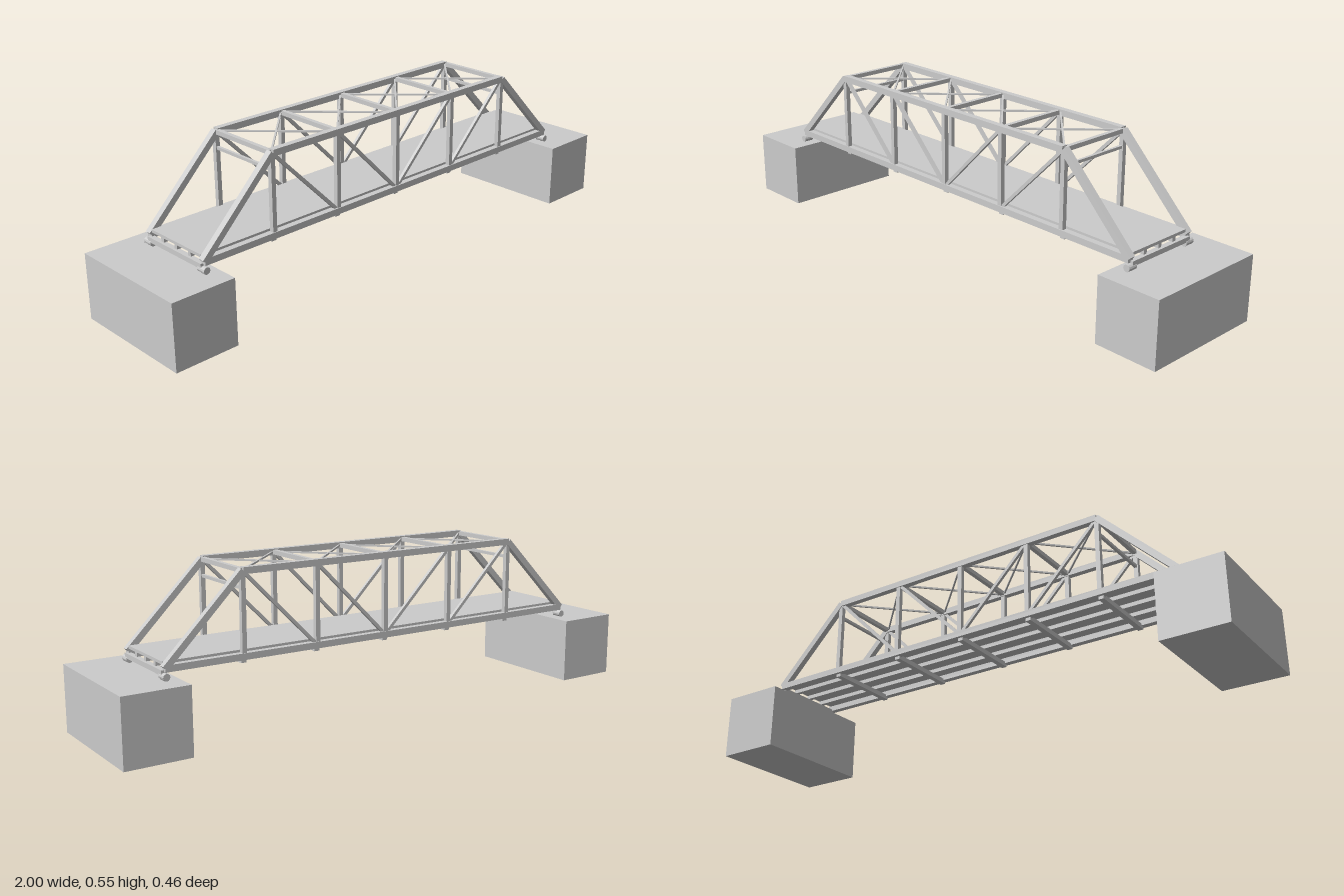
import * as THREE from 'three';

const BAY = 0.273;          // panel length
const LOW = 0.265;          // bottom chord centre height
const HIGH = 0.538;         // top chord centre height
const SIDE = 0.137;         // truss plane offset
const END = BAY * 3;
const SHOULDER = BAY * 2;

const material = new THREE.MeshStandardMaterial({ color: 0xcccccc, flatShading: true });

function add(parent, name, geometry, x, y, z) {
  const mesh = new THREE.Mesh(geometry, material);
  mesh.name = name;
  mesh.position.set(x, y, z);
  parent.add(mesh);
  return mesh;
}

function box(parent, name, w, h, d, x, y, z) {
  return add(parent, name, new THREE.BoxGeometry(w, h, d), x, y, z);
}

// Straight square bar between two points, its section kept upright
function bar(parent, name, a, b, height, width = height) {
  const from = new THREE.Vector3(...a), to = new THREE.Vector3(...b);
  const mid = from.clone().add(to).multiplyScalar(0.5);
  const mesh = box(parent, name, width, height, from.distanceTo(to), mid.x, mid.y, mid.z);
  mesh.lookAt(to);
  return mesh;
}

function makeTruss(z) {
  const truss = new THREE.Group();
  truss.name = z > 0 ? 'frontTruss' : 'backTruss';
  bar(truss, 'bottomChord', [-END, LOW, z], [END, LOW, z], 0.022);
  bar(truss, 'topChord', [-SHOULDER, HIGH, z], [SHOULDER, HIGH, z], 0.022);
  for (let i = -2; i <= 2; i++) {
    box(truss, 'verticalPost', 0.016, HIGH - LOW, 0.016, i * BAY, (HIGH + LOW) / 2, z);
  }
  for (const s of [-1, 1]) {
    bar(truss, 'endPost', [s * END, LOW, z], [s * SHOULDER, HIGH, z], 0.022);
    // Diagonals fall towards midspan
    for (let i = 1; i <= 2; i++) {
      bar(truss, 'diagonal', [s * i * BAY, HIGH, z], [s * (i - 1) * BAY, LOW, z], 0.011);
    }
  }
  return truss;
}

function makeFloor() {
  const floor = new THREE.Group();
  floor.name = 'floor';
  box(floor, 'deck', 1.638, 0.01, 0.252, 0, 0.279, 0);
  for (const z of [-0.069, 0, 0.069]) {
    box(floor, 'stringer', END * 2, 0.014, 0.014, 0, 0.267, z);
  }
  for (let i = -3; i <= 3; i++) {
    box(floor, 'floorBeam', 0.019, 0.017, SIDE * 2, i * BAY, 0.2515, 0);
  }
  return floor;
}

function makeTopBracing() {
  const bracing = new THREE.Group();
  bracing.name = 'topBracing';
  for (let i = -2; i <= 2; i++) {
    box(bracing, 'topStrut', 0.015, 0.015, SIDE * 2, i * BAY, HIGH, 0);
  }
  // Crossed laterals in each bay
  for (let i = -2; i < 2; i++) {
    for (const s of [-1, 1]) {
      bar(bracing, 'lateralBrace', [i * BAY, HIGH, -s * SIDE], [(i + 1) * BAY, HIGH, s * SIDE], 0.006);
    }
  }
  for (const s of [-1, 1]) {
    box(bracing, 'portalStrut', 0.01, 0.01, SIDE * 2, s * SHOULDER, 0.483, 0);
  }
  return bracing;
}

function makeSupport(s) {
  const support = new THREE.Group();
  support.name = s > 0 ? 'leftSupport' : 'rightSupport';
  box(support, 'abutment', 0.227, 0.228, 0.456, s * 0.8865, 0.114, 0);
  for (const z of [-SIDE, SIDE]) {
    const roller = new THREE.CylinderGeometry(0.012, 0.012, 0.035, 12).rotateX(Math.PI / 2);
    add(support, 'bearingRoller', roller, s * END, 0.24, z);
  }
  return support;
}

export function createModel() {
  const bridge = new THREE.Group();
  bridge.name = 'trussBridge';
  bridge.add(makeTruss(SIDE), makeTruss(-SIDE), makeFloor(), makeTopBracing(), makeSupport(-1), makeSupport(1));
  return bridge;
}
